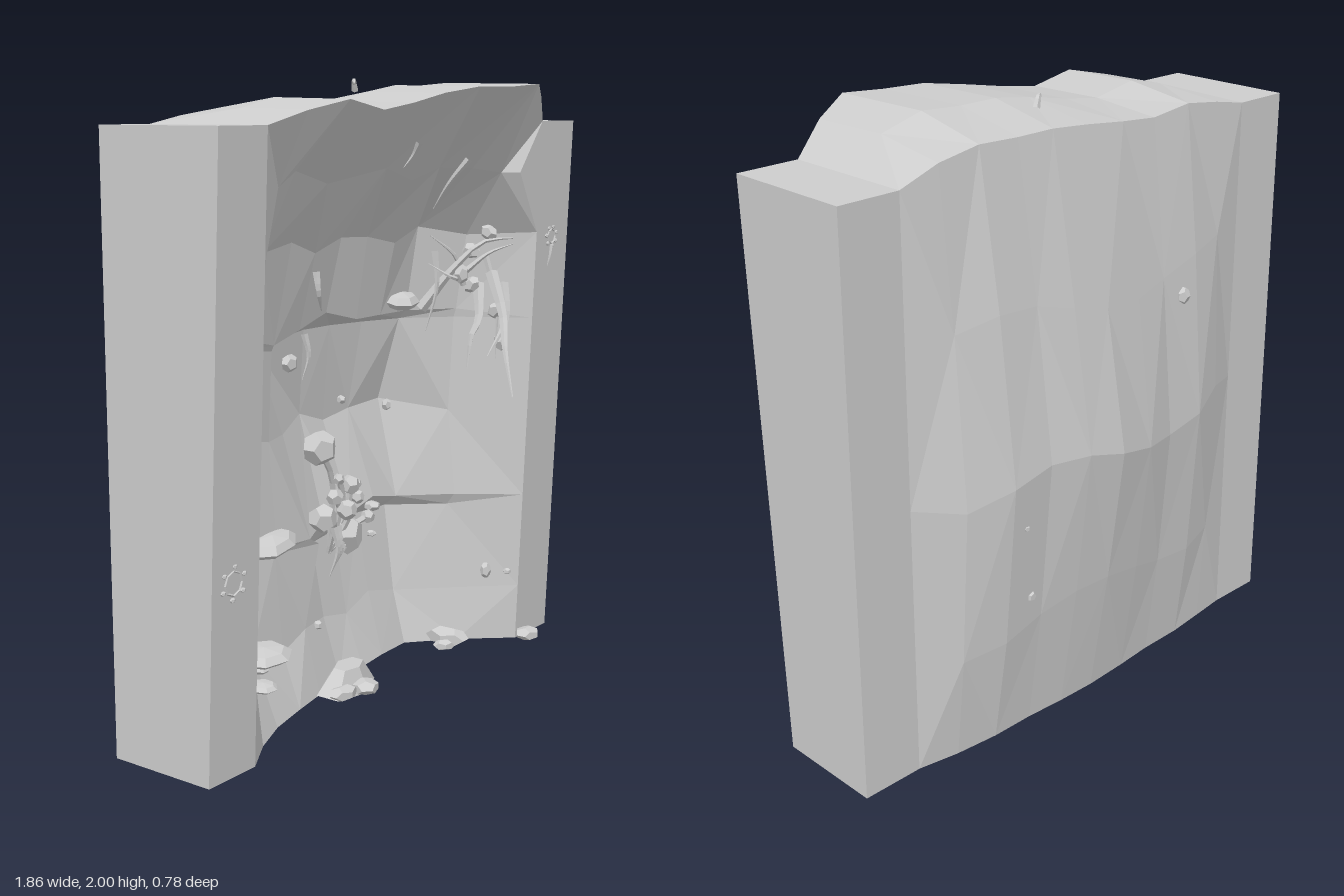
import * as THREE from 'three';

const stone = new THREE.MeshStandardMaterial({ color: 0xcccccc });
stone.name = 'paleStone';
stone.flatShading = true;

const faceZ = (y) => 0.16 + 0.04 * y; // leaning front face of the pillars

// Niche surface: one row per height, one depth per inner column
const COLS = [-0.93, -0.73, -0.6, -0.46, -0.3, -0.16, 0, 0.14, 0.28, 0.43, 0.58, 0.72, 0.93];
const TOP = [1.86, 1.86, 1.9, 1.93, 1.9, 1.92, 1.95, 1.97, 1.97, 1.98, 1.94, 1.86, 1.86];
const BULGE = [0, 0, 0.05, 0.1, 0.11, 0.15, 0.18, 0.17, 0.14, 0.14, 0.09, 0, 0];
const ROWS = [
  [0, 0.08, 0.02, -0.02, -0.05, -0.09, -0.1, -0.12, -0.13, 0],
  [0.2, 0.04, -0.08, -0.09, -0.11, -0.16, -0.17, -0.18, -0.18, -0.03],
  [0.5, 0.03, -0.12, -0.12, -0.13, -0.2, -0.22, -0.23, -0.22, -0.05],
  [0.54, 0.05, -0.1, -0.11, -0.12, -0.16, -0.15, -0.16, -0.17, -0.02],
  [0.87, 0.04, -0.13, -0.14, -0.2, -0.26, -0.27, -0.27, -0.25, -0.05],
  [1.18, 0.05, -0.1, -0.1, -0.2, -0.24, -0.24, -0.21, -0.16, -0.03],
  [1.21, 0.06, -0.08, -0.09, -0.11, -0.12, -0.125, -0.13, -0.13, -0.02],
  [1.48, 0.09, -0.02, -0.04, -0.06, -0.08, -0.08, -0.07, -0.08, 0.02],
  [1.7, 0.16, 0.11, 0.1, 0.1, 0.1, 0.1, 0.11, 0.14, 0.19],
  [1.86, 0.27, 0.31, 0.31, 0.315, 0.32, 0.355, 0.38, 0.39, 0.31],
];
const BACK = [[1.4, 0.55], [0.9, 1], [0.4, 0.67], [0, 0.28]];
// Points moved off their column or row, as 'row,column': [x, y]
const MOVED = {
  '2,5': [-0.06, 0.48], '2,6': [-0.01, 0.46], '2,7': [0.14, 0.47], '3,8': [0.28, 0.57], '3,4': [-0.3, 0.52],
  '3,5': [-0.12, 0.51], '5,4': [-0.33, 1.16], '5,5': [-0.29, 1.16], '6,4': [-0.33, 1.18],
  '6,6': [-0.03, 1.25], '6,5': [-0.18, 1.21], '8,10': [0.53, 1.69], '8,11': [0.59, 1.69],
};

// Closed front-top-back outline of the wall at one column
function outline(i) {
  const x = COLS[i], top = TOP[i], pts = [];
  const inner = i > 1 && i < 11;
  ROWS.forEach((r, k) => {
    const wobble = inner && [1, 4, 7, 8].includes(k) ? 0.025 * Math.sin(i * 2.3 + k * 1.7) : 0;
    const y = k === ROWS.length - 1 ? top : r[0] + wobble;
    pts.push([...(MOVED[`${k},${i}`] ?? [x, y]), inner ? r[i - 1] : faceZ(r[0])]);
  });
  pts.push([x, top + (inner ? 0.006 : 0), 0.03]);
  pts.push([x, 1.86 + (top - 1.86) * 0.6, -0.21]);
  BACK.forEach(([y, f], k) => {
    const wobble = inner && y > 0 ? 0.05 * Math.sin(i * 0.9 + k) : 0;
    pts.push([x, y + wobble, -0.21 - BULGE[i] * f]);
  });
  return pts;
}

function wallGeometry() {
  const loops = COLS.map((_, i) => outline(i)), n = loops[0].length, index = [];
  for (let i = 0; i < COLS.length - 1; i++) {
    for (let j = 0; j < n; j++) {
      const k = (j + 1) % n;
      const a = i * n + j, b = a + n, d = i * n + k, c = d + n;
      if ((i + j) % 2) index.push(a, b, d, b, c, d);
      else index.push(a, b, c, a, c, d);
    }
  }
  const end = (COLS.length - 1) * n;
  for (let j = 1; j < n - 1; j++) index.push(0, j, j + 1, end, end + j + 1, end + j);
  const g = new THREE.BufferGeometry();
  g.setAttribute('position', new THREE.Float32BufferAttribute(loops.flat(2), 3));
  g.setIndex(index);
  const flat = g.toNonIndexed();
  flat.computeVertexNormals();
  return flat;
}

export function createModel() {
  const model = new THREE.Group();
  model.name = 'rockAlcove';
  const add = (name, geo, pos = [0, 0, 0], scale = [1, 1, 1], rot = [0, 0, 0]) => {
    const m = new THREE.Mesh(geo, stone);
    m.name = name;
    m.position.set(...pos);
    m.scale.set(...scale);
    m.rotation.set(...rot);
    model.add(m);
  };
  add('rockWall', wallGeometry());

  // Tube thinning toward its end
  const tendril = (name, points, r, tip = 0.1) => {
    const curve = new THREE.CatmullRomCurve3(points.map((p) => new THREE.Vector3(...p)));
    const seg = 8, sides = 5;
    const geo = new THREE.TubeGeometry(curve, seg, r, sides);
    const p = geo.attributes.position, v = new THREE.Vector3();
    for (let i = 0; i < p.count; i++) {
      const t = Math.floor(i / (sides + 1)) / seg;
      const c = curve.getPointAt(t);
      v.fromBufferAttribute(p, i).sub(c).multiplyScalar(1 - (1 - tip) * t).add(c);
      p.setXYZ(i, v.x, v.y, v.z);
    }
    geo.computeVertexNormals();
    add(name, geo);
  };

  // Loose stones and pebbles: position, then half sizes
  const pebble = new THREE.DodecahedronGeometry(1);
  [
    [-0.15, 0.025, 0.04, 0.06, 0.025, 0.04], [-0.06, 0.025, 0.06, 0.055, 0.025, 0.05],
    [0.5, 0.035, 0.01, 0.085, 0.035, 0.05], [0.45, 0.02, 0.03, 0.04, 0.02, 0.03],
    [0.73, 0.024, 0.205, 0.05, 0.024, 0.045], [0.1, 0.48, -0.14, 0.065, 0.075, 0.06],
    [0.64, 0.26, 0.08, 0.02, 0.03, 0.02], [0.69, 0.255, 0.14, 0.015, 0.012, 0.015],
    [0.44, 0.865, -0.22, 0.018, 0.022, 0.018], [0.205, 0.915, -0.24, 0.02, 0.016, 0.016],
    [0.31, 0.425, -0.19, 0.02, 0.012, 0.015], [-0.07, 0.2, -0.13, 0.02, 0.016, 0.016],
    [-0.23, 1.11, -0.11, 0.035, 0.03, 0.025], [0.25, 0.545, -0.14, 0.03, 0.018, 0.03],
    [-0.39, 1.3, -0.275, 0.025, 0.03, 0.025], [0.33, 0.5, -0.305, 0.02, 0.02, 0.02],
    [0.37, 0.76, -0.33, 0.012, 0.012, 0.012],
  ].forEach(([x, y, z, a, b, c], i) => add('stone', pebble, [x, y, z], [a, b, c], [0, i * 0.8, 0]));
  add('floorSlab', new THREE.CylinderGeometry(0.5, 1, 1, 6), [-0.05, 0.042, -0.02], [0.16, 0.08, 0.08], [0.1, 0.2, -0.06]);

  // Shelf fungi growing from the walls
  const shelf = new THREE.SphereGeometry(1, 7, 4);
  [
    [-0.64, 0.31, 0.12, 0.1, 0.025, 0.08], [-0.69, 0.235, 0.16, 0.045, 0.014, 0.045],
    [-0.61, 0.25, 0.08, 0.03, 0.014, 0.03], [-0.35, 0.55, -0.09, 0.135, 0.03, 0.07],
    [0.38, 1.25, -0.11, 0.09, 0.03, 0.06],
  ].forEach(([x, y, z, a, b, c], i) => add('shelfFungus', shelf, [x, y, z], [a, b, c], [0.12, i * 0.1, 0.04]));

  // Mushroom cluster with bent stems
  [
    [-0.08, 0.81, -0.11, 0.06], [-0.065, 0.57, -0.11, 0.05], [0.0, 0.63, -0.11, 0.03],
    [0.07, 0.66, -0.1, 0.035], [0.04, 0.58, -0.09, 0.035], [0.11, 0.61, -0.1, 0.025],
    [0.13, 0.65, -0.12, 0.02], [0.17, 0.53, -0.1, 0.025], [0.01, 0.69, -0.1, 0.02],
  ].forEach(([x, y, z, r], i) => {
    add('mushroomCap', pebble, [x, y, z], [r, r, r], [i, i * 0.7, 0]);
    tendril('mushroomStem', [[x, y, z], [x * 0.5 + 0.04, y * 0.6 + 0.2, z - 0.01], [0.04, 0.42, -0.17]], 0.011, 0.8);
  });
  for (let i = 0; i < 5; i++) {
    tendril('clusterRoot', [[0.02 + i * 0.02, 0.52, -0.13], [0.03 + i * 0.01, 0.44, -0.12], [0.02 + i * 0.012, 0.34 + i * 0.015, -0.15]], 0.014);
  }

  // Hanging roots on the +x wall
  [
    [[0.62, 1.34, 0.1], [0.57, 1.2, 0.18], [0.49, 1.1, 0.24], [0.43, 0.95, 0.31]],
    [[0.6, 1.3, 0.06], [0.54, 1.18, 0.1], [0.5, 1.14, 0.1], [0.47, 1.02, 0.1]],
    [[0.66, 1.3, 0.12], [0.62, 1.18, 0.16], [0.54, 1.06, 0.14]],
    [[0.45, 1.22, -0.08], [0.5, 1.36, 0.02], [0.56, 1.45, 0.1], [0.66, 1.46, 0.16]],
    [[0.55, 1.3, 0.03], [0.5, 1.4, 0.03], [0.41, 1.48, -0.02]],
    [[0.56, 1.32, 0.03], [0.48, 1.33, 0.03], [0.42, 1.38, -0.03]],
    [[0.55, 1.35, 0.04], [0.6, 1.41, 0.1], [0.66, 1.44, 0.16]],
    [[0.61, 1.4, 0.08], [0.62, 1.25, 0.12], [0.62, 1.04, 0.12]],
    [[0.46, 1.42, -0.03], [0.46, 1.3, -0.02], [0.45, 1.14, -0.06]],
  ].forEach((p, i) => tendril('hangingRoot', p, i < 4 ? 0.022 : 0.012));
  [[0.52, 1.34, 0.04], [0.57, 1.3, 0.05], [0.6, 1.48, 0.1], [0.64, 1.1, 0.13], [0.62, 1.21, 0.12], [0.55, 1.42, 0.06]]
    .forEach((p, i) => add('rootKnot', pebble, p, [0.028, 0.035, 0.025], [i, i, 0]));

  // Thin roots and twigs on the wall and on the top
  [
    [[-0.18, 1.2, -0.09], [-0.17, 1.13, -0.08], [-0.18, 1.05, -0.1]],
    [[-0.18, 1.4, -0.04], [-0.18, 1.33, -0.03], [-0.13, 1.27, -0.06]],
    [[0.05, 1.8, 0.19], [0.06, 1.76, 0.16], [0.05, 1.72, 0.13]],
    [[0.36, 1.74, 0.17], [0.35, 1.66, 0.1], [0.36, 1.57, 0.03]],
    [[0.1, 1.96, -0.1], [0.08, 1.99, -0.09], [0.03, 1.98, -0.05]],
  ].forEach((p) => tendril('twig', p, 0.012));

  // Ring-shaped lichen on the pillars
  [[-0.84, 0.59, 0.036, 6], [0.82, 1.46, 0.025, 7]].forEach(([x, y, r, buds]) => {
    const z = faceZ(y);
    add('lichenRing', new THREE.TorusGeometry(r, 0.004, 4, 8), [x, y, z]);
    for (let i = 0; i < buds; i++) {
      const a = ((i + 0.4) / buds) * Math.PI * 2;
      add('lichenBud', pebble, [x + Math.cos(a) * r * 1.35, y + Math.sin(a) * r * 1.35, z], [0.01, 0.008, 0.008]);
    }
  });
  tendril('lichenStem', [[0.82, 1.43, 0.22], [0.81, 1.39, 0.22], [0.8, 1.34, 0.21]], 0.006);
  return model;
}
